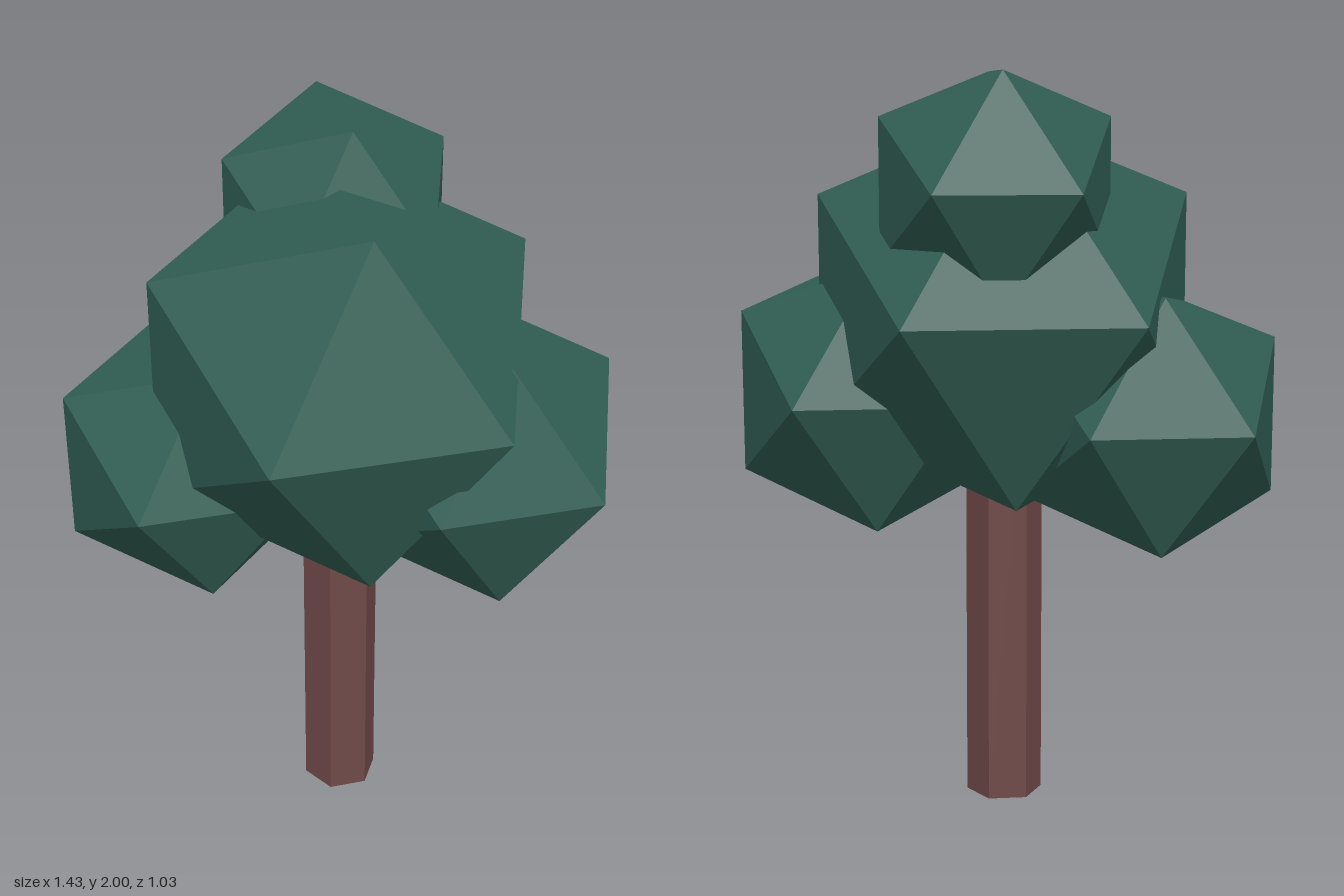
import * as THREE from 'three';

export function createModel() {
  const tree = new THREE.Group();
  tree.name = 'tree';

  const leafGreen = new THREE.MeshStandardMaterial({ color: 0x305d52, flatShading: true });
  leafGreen.name = 'leaf green';
  const barkBrown = new THREE.MeshStandardMaterial({ color: 0x704a49, flatShading: true });
  barkBrown.name = 'bark brown';

  // Six-sided trunk, with its top hidden inside the crown
  const height = 1.25;
  const trunk = new THREE.Mesh(
    new THREE.CylinderGeometry(0.105, 0.105, height, 6).rotateY(Math.PI / 2),
    barkBrown
  );
  trunk.name = 'trunk';
  trunk.position.set(0, height / 2, 0.02);
  tree.add(trunk);

  // Foliage clumps: name, radius, centre
  const clumps = [
    ['mainFoliage', 0.586, [0, 1.372, 0.02]],
    ['topFoliage', 0.35, [0.047, 1.702, -0.217]],
    ['leftFoliage', 0.42, [0.355, 1.137, 0.135]],
    ['rightFoliage', 0.4, [-0.376, 1.09, -0.127]],
  ];
  for (const [name, radius, centre] of clumps) {
    const clump = new THREE.Mesh(
      new THREE.IcosahedronGeometry(radius, 0).rotateY(Math.PI / 2),
      leafGreen
    );
    clump.name = name;
    clump.position.set(...centre);
    tree.add(clump);
  }

  return tree;
}
